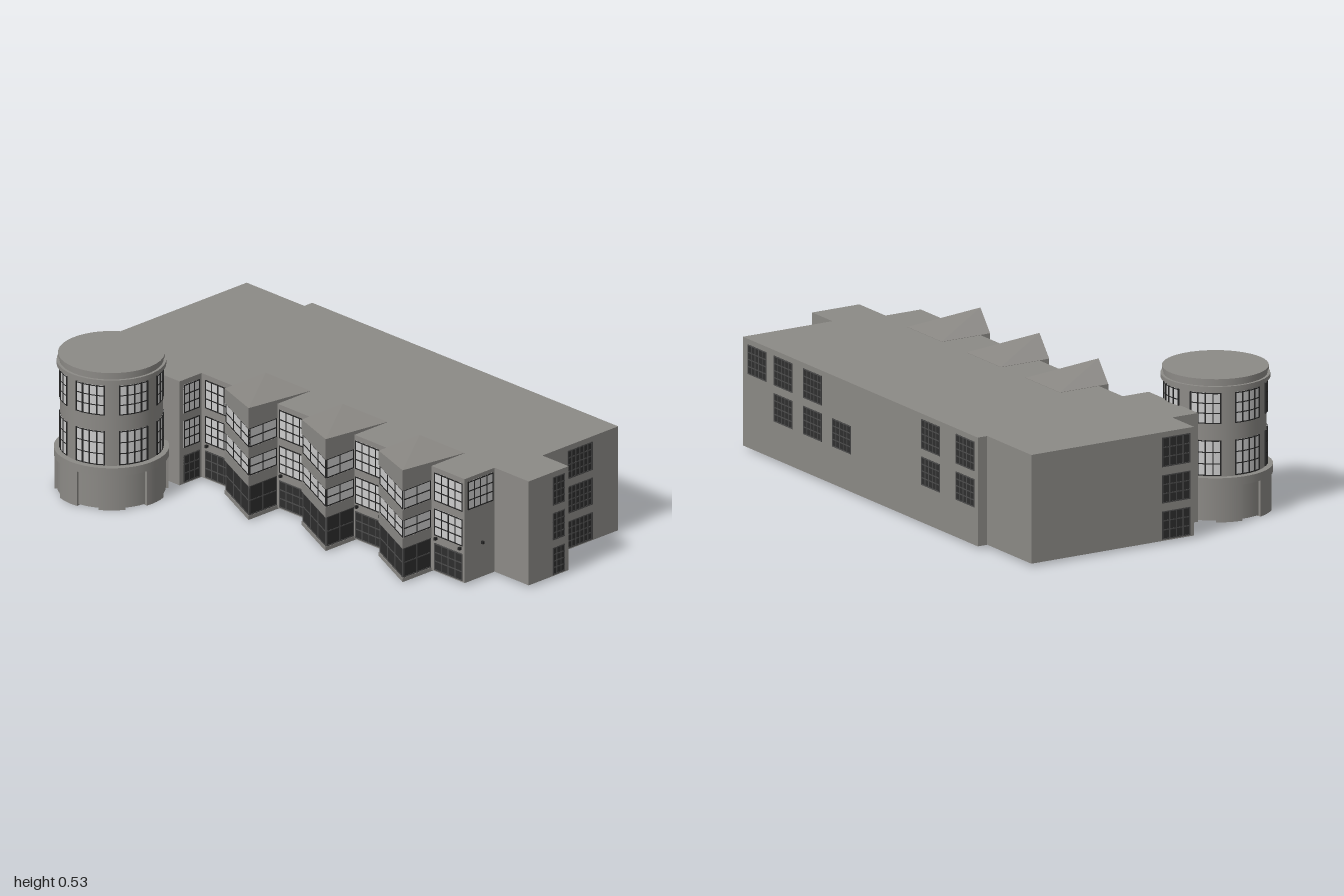
import * as THREE from 'three';

const mat = (color) => new THREE.MeshStandardMaterial({ color, side: THREE.DoubleSide });
const wall = mat(0x8c8a86), pale = mat(0xcccccc), dark = mat(0x2e2e2e), frame = mat(0x262626), sash = mat(0x4c4c4c);

function add(parent, name, geometry, material, x = 0, y = 0, z = 0) {
  const mesh = new THREE.Mesh(geometry, material);
  mesh.name = name;
  mesh.position.set(x, y, z);
  parent.add(mesh);
  return mesh;
}

// Upright prism over a footprint of [x, z] corners
function prism(points, y0, y1) {
  const shape = new THREE.Shape(points.map(([x, z]) => new THREE.Vector2(x, -z)));
  return new THREE.ExtrudeGeometry(shape, { depth: y1 - y0, bevelEnabled: false })
    .rotateX(-Math.PI / 2).translate(0, y0, 0);
}

// Barred window on a wall, running from its left end a to its right end b as seen from outside
function windowOn(parent, a, b, y0, y1, cols, rows, glass, name = 'window') {
  const dx = b[0] - a[0], dz = b[1] - a[1], w = Math.hypot(dx, dz), h = y1 - y0;
  const group = new THREE.Group();
  group.name = name;
  group.position.set((a[0] + b[0]) / 2, (y0 + y1) / 2, (a[1] + b[1]) / 2);
  group.rotation.y = Math.atan2(-dz, dx);
  add(group, 'glass', new THREE.BoxGeometry(w, h, 0.002), glass);
  const bars = glass === dark ? sash : frame, t = 0.004;
  for (let i = 0; i <= cols; i++)
    add(group, 'mullion', new THREE.BoxGeometry(t, h, 0.005), bars, (i / cols - 0.5) * (w - t));
  for (let j = 0; j <= rows; j++)
    add(group, 'transom', new THREE.BoxGeometry(w, t, 0.005), bars, 0, (j / rows - 0.5) * (h - t));
  parent.add(group);
}

const floors = [[0.015, 0.12], [0.15, 0.255], [0.285, 0.395]];

function mainBuilding() {
  const g = new THREE.Group();
  g.name = 'mainBuilding';
  add(g, 'mainWalls', prism([
    [-1, 0.115], [-0.855, 0.115], [-0.855, 0.225], [-0.525, 0.225], [-0.525, 0.115], [0.825, 0.115],
    [0.825, -0.035], [1, -0.035], [1, -0.235], [0.865, -0.235], [0.865, -0.615], [-0.705, -0.615],
    [-0.705, -0.575], [-1, -0.575]], 0.01, 0.415), wall);

  // Front windows between the bays, each with two lamps
  for (const [x0, x1] of [[-0.505, -0.375], [-0.125, 0.015], [0.265, 0.405], [0.67, 0.815]]) {
    floors.forEach(([y0, y1], i) =>
      windowOn(g, [x0, 0.115], [x1, 0.115], y0, y1, 4, 3, i ? pale : dark, 'frontWindow'));
    for (const x of [x0 + 0.01, x1 - 0.01])
      add(g, 'wallLamp', new THREE.BoxGeometry(0.009, 0.01, 0.012), frame, x, 0.14, 0.12);
  }
  add(g, 'wallLamp', new THREE.BoxGeometry(0.012, 0.01, 0.009), frame, 0.83, 0.145, 0.03);

  // Side windows
  windowOn(g, [0.825, 0.1], [0.825, -0.027], 0.29, 0.4, 4, 3, pale, 'cornerWindow');
  for (const [y0, y1] of floors) {
    windowOn(g, [1, -0.155], [1, -0.215], y0, y1, 3, 4, dark, 'rightWindow');
    windowOn(g, [0.865, -0.36], [0.865, -0.485], y0, y1, 6, 4, dark, 'rightWindow');
    windowOn(g, [-1, -0.02], [-1, 0.1], y0, y1, 4, 3, dark, 'leftWindow');
    windowOn(g, [-0.525, 0.205], [-0.525, 0.125], y0, y1, 3, 3, y0 > 0.1 ? pale : dark, 'linkWindow');
  }

  // Back windows: left end x and the storeys they appear on
  for (const [x, storeys] of [[0.83, [2]], [0.655, [1, 2]], [0.46, [1, 2]], [0.265, [1]],
    [-0.33, [1, 2]], [-0.56, [1, 2]]])
    for (const s of storeys)
      windowOn(g, [x, -0.615], [x - 0.123, -0.615], ...floors[s], 5, 4, dark, 'backWindow');
  return g;
}

// Wedge-shaped bay with bands of glazing and a tilted roof
function bay(x0) {
  const g = new THREE.Group();
  g.name = 'wedgeBay';
  const x1 = x0 + 0.23;
  const outline = (inset, back) => [[x0 + inset, back], [x0 + inset, 0.155 - inset],
    [x1 - inset, 0.26 - inset * 1.6], [x1 - inset, back]];
  add(g, 'bayCore', prism(outline(0.007, 0.1), 0.012, 0.37), dark);
  for (const [y0, y1] of [[0.005, 0.02], [0.135, 0.175], [0.245, 0.285]])
    add(g, 'bayBand', prism(outline(0, 0.1), y0, y1), wall);

  // Roof rises only towards the front outer corner
  const roof = prism(outline(0, -0.05), 0.36, 0.416), p = roof.attributes.position;
  for (let i = 0; i < p.count; i++) {
    if (p.getY(i) < 0.4) continue;
    const u = (p.getX(i) - x0) / 0.23, v = (p.getZ(i) + 0.05) / 0.31;
    p.setY(i, 0.416 + 0.025 * u * v);
  }
  roof.computeVertexNormals();
  add(g, 'bayRoof', roof, wall);

  const [, l, c, r] = outline(0.004, 0.117);
  for (const [y0, y1, glass] of [[0.02, 0.135, dark], [0.175, 0.245, pale], [0.285, 0.36, pale]]) {
    windowOn(g, l, c, y0, y1, 3, 2, glass, 'bayFrontWindow');
    windowOn(g, c, r, y0, y1, 2, 2, glass, 'baySideWindow');
    windowOn(g, [l[0], 0.117], l, y0, y1, 1, 2, glass, 'bayReturnWindow');
  }
  return g;
}

function tower() {
  const g = new THREE.Group();
  g.name = 'roundTower';
  g.position.set(-0.695, 0, 0.4);
  const drum = (name, r, y0, y1) =>
    add(g, name, new THREE.CylinderGeometry(r, r, y1 - y0, 42), wall, 0, (y0 + y1) / 2);
  drum('towerBase', 0.195, 0.004, 0.15);
  drum('baseLedge', 0.207, 0.135, 0.165);
  drum('towerBody', 0.184, 0.16, 0.49);
  drum('lowerCornice', 0.197, 0.487, 0.503);
  drum('parapet', 0.187, 0.5, 0.522);
  drum('upperCornice', 0.192, 0.52, 0.53);

  // Curved strip centred on an angle measured from +z towards +x
  const arc = (name, r, y0, y1, angle, width, material) =>
    add(g, name, new THREE.CylinderGeometry(r, r, y1 - y0, 6, 1, true, angle - width / 2, width),
      material, 0, (y0 + y1) / 2);
  const step = Math.PI * 2 / 7, width = 0.6;
  for (let k = 0; k < 7; k++) {
    const angle = 0.36 + k * step;
    for (const [y0, y1] of [[0.168, 0.3], [0.362, 0.477]]) {
      arc('towerGlass', 0.186, y0, y1, angle, width, pale);
      for (let j = 0; j <= 3; j++) {
        const y = y0 + (y1 - y0 - 0.004) * j / 3;
        arc('towerTransom', 0.188, y, y + 0.004, angle, width, frame);
      }
      for (let i = 0; i <= 4; i++) {
        const a = angle + (i / 4 - 0.5) * width;
        const bar = add(g, 'towerMullion', new THREE.BoxGeometry(0.005, y1 - y0, 0.005), frame,
          0.1865 * Math.sin(a), (y0 + y1) / 2, 0.1865 * Math.cos(a));
        bar.rotation.y = a;
      }
    }
    // Raised base pier between windows
    const pier = new THREE.Shape(), a = Math.PI / 2 - (angle + step / 2);
    pier.absarc(0, 0, 0.205, a - 0.24, a + 0.24, false);
    pier.absarc(0, 0, 0.185, a + 0.24, a - 0.24, true);
    add(g, 'basePier', new THREE.ExtrudeGeometry(pier, { depth: 0.14, bevelEnabled: false, curveSegments: 6 })
      .rotateX(Math.PI / 2).translate(0, 0.14, 0), wall);
  }
  return g;
}

export function createModel() {
  const model = new THREE.Group();
  model.name = 'building';
  model.add(mainBuilding(), tower());
  for (const x of [-0.365, 0.03, 0.425]) model.add(bay(x));
  return model;
}
